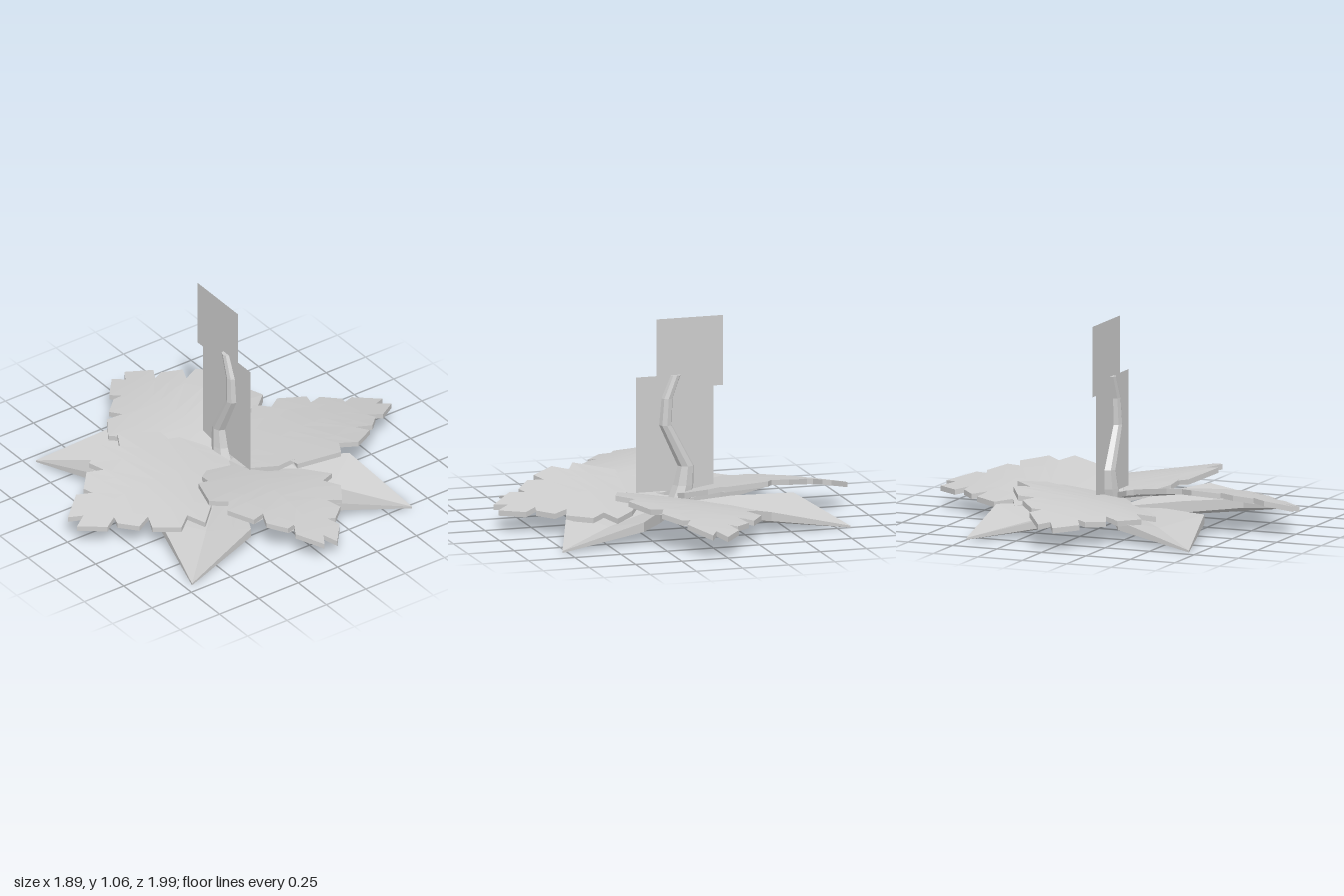
import * as THREE from 'three';

const material = new THREE.MeshStandardMaterial({ color: 0xcccccc, flatShading: true });
const sheetMaterial = new THREE.MeshStandardMaterial({ color: 0xcccccc, side: THREE.DoubleSide });

// Leaf lofted from cross-sections: each runs from the left edge over the rib to the right edge.
// Edge points are [across, along], rib gives the matching positions along the middle.
function leaf(name, rightEdge, leftEdge, rib, height, thickness) {
  const positions = [], indices = [];
  const steps = [-1, -0.6, 0, 0.6, 1];
  rib.forEach((r, k) => {
    const section = steps.map((t) => {
      const [v, u] = t < 0 ? leftEdge[k] : rightEdge[k];
      return [t * v, THREE.MathUtils.lerp(r, u, Math.abs(t))];
    });
    for (const [v, u] of section) positions.push(v, height(u, v) + thickness(u), -u);
    for (const [v, u] of section.reverse()) positions.push(v, height(u, v), -u);
  });
  const quad = (a, b, c, d) => indices.push(a, b, c, a, c, d);
  const size = steps.length * 2;
  const last = (rib.length - 1) * size;
  for (let k = 0; k < last; k += size) {
    for (let j = 0; j < size; j++) {
      const next = (j + 1) % size;
      quad(k + j, k + next, k + size + next, k + size + j);
    }
  }
  // Closed ends
  for (let j = 0; j < steps.length - 1; j++) {
    quad(j, size - 1 - j, size - 2 - j, j + 1);
    quad(last + j, last + j + 1, last + size - 2 - j, last + size - 1 - j);
  }
  const geometry = new THREE.BufferGeometry();
  geometry.setAttribute('position', new THREE.Float32BufferAttribute(positions, 3));
  geometry.setIndex(indices);
  geometry.computeVertexNormals();
  const mesh = new THREE.Mesh(geometry, material);
  mesh.name = name;
  return mesh;
}

// Toothed margin shared by both sides of an upper leaf
const teeth = [
  [0.39, 0.43], [0.3, 0.48], [0.36, 0.56], [0.28, 0.69], [0.2, 0.655], [0.235, 0.74],
  [0.15, 0.82], [0.1, 0.8], [0.14, 0.875], [0.04, 1],
];
const wideBase = [[0.13, 0.04], [0.24, 0.14], [0.25, 0.23], [0.31, 0.21]];
const narrowBase = [[0.05, 0.02], [0.13, 0.14], [0.18, 0.25], [0.28, 0.31]];

// Arched along its length and rolled, so its right side lies over the next leaf
function upperLeaf() {
  const right = [...wideBase, ...teeth];
  const left = [...narrowBase, ...teeth];
  const rib = right.map((_, k) => 0.93 * (k / (right.length - 1)) ** 0.9);
  const height = (u, v) => 0.1 + 0.055 * Math.sin(Math.PI * u) + 0.17 * v;
  return leaf('upperLeaf', right, left, rib, height, () => 0.028);
}

// Plain pointed leaf, thick at the base and shoulders and thin at the tip
function lowerLeaf(x, z) {
  const length = Math.hypot(x, z);
  const edge = [[0.03, 0.06], [0.14, 0.3], [0.24, 0.6], [0, length]];
  const height = (u, v) => 0.012 * (1 - u / length) + 0.26 * Math.abs(v);
  const result = leaf('lowerLeaf', edge, edge, [0.05, 0.3, 0.57, length], height,
    (u) => 0.01 + 0.1 * Math.min(0.5, 1 - u / length));
  result.rotation.y = Math.atan2(-x, -z);
  return result;
}

// Bent tapering stem: a cylinder whose rings follow [x, y, radiusX, radiusZ]
function stem() {
  const rings = [
    [-0.025, 0.76, 0.026, 0.022], [0.022, 0.64, 0.03, 0.028], [0.031, 0.5, 0.034, 0.034],
    [-0.078, 0.28, 0.043, 0.043], [-0.065, 0.18, 0.055, 0.052], [-0.02, 0.04, 0.07, 0.07],
  ];
  const geometry = new THREE.CylinderGeometry(1, 1, rings.length - 1, 8, rings.length - 1);
  const pos = geometry.attributes.position;
  const top = (rings.length - 1) / 2;
  for (let i = 0; i < pos.count; i++) {
    const [x, y, rx, rz] = rings[Math.round(top - pos.getY(i))];
    pos.setXYZ(i, x + pos.getX(i) * rx, y, -0.025 + pos.getZ(i) * rz);
  }
  geometry.computeVertexNormals();
  const mesh = new THREE.Mesh(geometry, material);
  mesh.name = 'stem';
  return mesh;
}

// Upright flat card
function card(name, x0, x1, y0, y1) {
  const mesh = new THREE.Mesh(new THREE.PlaneGeometry(x1 - x0, y1 - y0), sheetMaterial);
  mesh.position.set((x0 + x1) / 2, (y0 + y1) / 2, -0.025);
  mesh.name = name;
  return mesh;
}

export function createModel() {
  const model = new THREE.Group();
  model.name = 'plant';

  // Four toothed leaves in a cross: back, left, front, right, with [x, y, length scale]
  [[0.04, -0.01, 1], [0, 0, 0.95], [0.03, 0.01, 0.99], [0, -0.01, 0.94]].forEach(([x, y, s], i) => {
    const upper = upperLeaf();
    upper.position.set(x, y, 0);
    upper.scale.z = s;
    upper.rotation.y = (i * Math.PI) / 2;
    model.add(upper);
  });

  // Four pointed leaves below, given by their tips
  for (const [x, z] of [[0.78, -0.63], [-0.82, -0.5], [-0.7, 0.7], [0.7, 0.71]]) {
    model.add(lowerLeaf(x, z));
  }

  model.add(stem());
  model.add(card('flowerCard', -0.28, 0.08, 0.69, 1.06));
  model.add(card('stemCard', -0.23, 0.19, 0.15, 0.76));
  return model;
}
